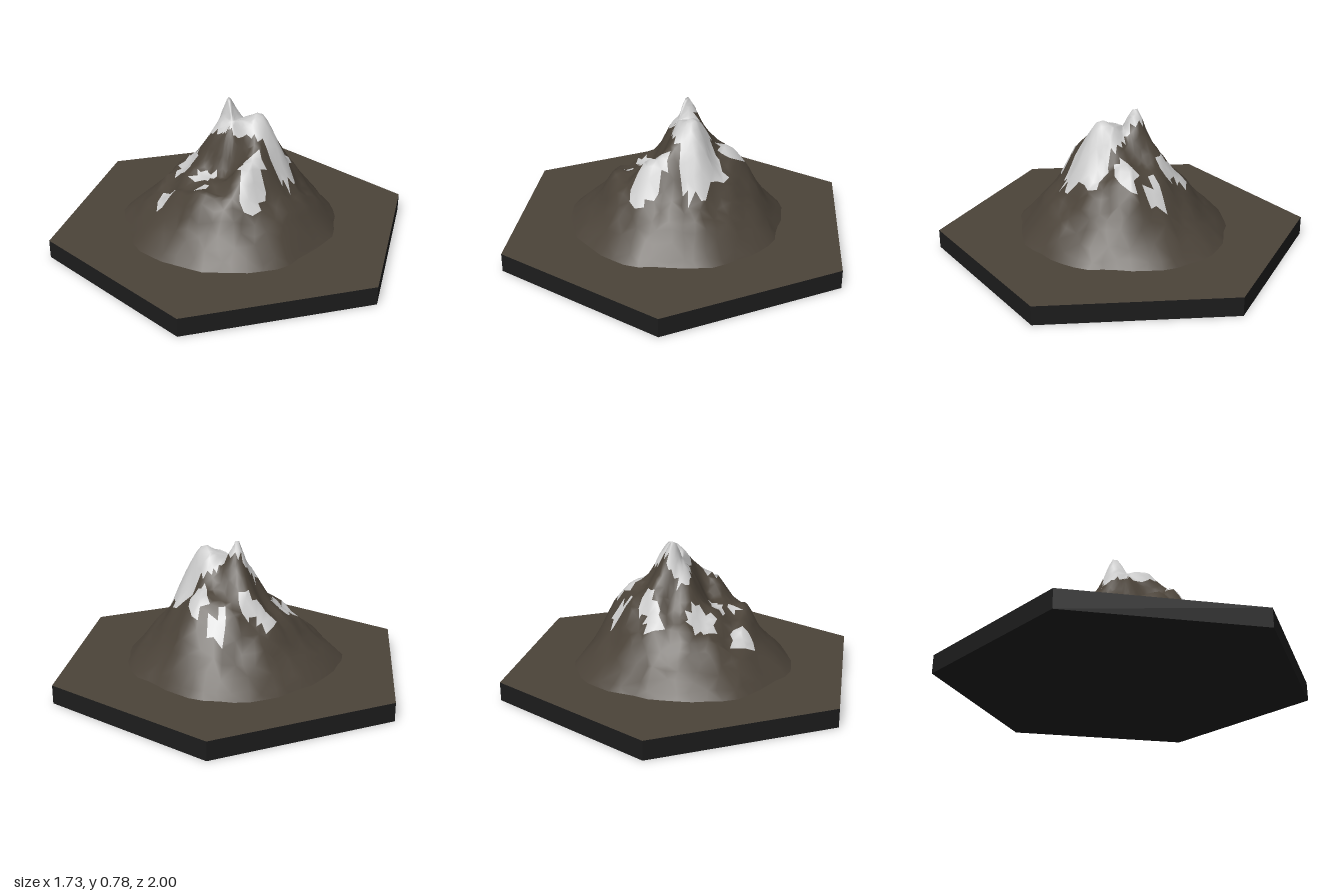
import * as THREE from 'three';

// Height knots for slopes every 30 degrees, starting at +x and turning toward +z.
// Each row: heights at radii RADII, then the radius of the foot.
const RADII = [0, 0.08, 0.16, 0.25, 0.35, 0.45];
const PEAK = 0.67, GROUND = 0.098;
const SLOPES = [
  [0.70, 0.74, 0.55, 0.36, 0.24, 0.57],
  [0.68, 0.65, 0.52, 0.37, 0.24, 0.56],
  [0.58, 0.53, 0.54, 0.38, 0.24, 0.59],
  [0.55, 0.41, 0.41, 0.39, 0.24, 0.58],
  [0.56, 0.42, 0.40, 0.36, 0.23, 0.60],
  [0.58, 0.46, 0.38, 0.30, 0.23, 0.58],
  [0.63, 0.50, 0.41, 0.32, 0.23, 0.60],
  [0.68, 0.53, 0.44, 0.33, 0.22, 0.56],
  [0.79, 0.60, 0.50, 0.36, 0.22, 0.58],
  [0.73, 0.60, 0.50, 0.38, 0.24, 0.60],
  [0.66, 0.58, 0.52, 0.45, 0.26, 0.56],
  [0.69, 0.66, 0.50, 0.37, 0.24, 0.57],
];

// Snow patches: x, z, half width, half depth
const SNOW = [
  [0.15, -0.02, 0.16, 0.11], [0.27, 0.03, 0.07, 0.08], [0.25, -0.1, 0.06, 0.06],
  [-0.04, -0.04, 0.09, 0.07], [0.17, 0.24, 0.06, 0.1], [-0.31, 0.21, 0.06, 0.06],
  [-0.25, 0.02, 0.06, 0.08], [-0.11, 0.16, 0.07, 0.035], [-0.09, 0.26, 0.035, 0.03],
  [-0.2, -0.23, 0.06, 0.045], [-0.1, -0.24, 0.035, 0.04], [0.03, -0.34, 0.05, 0.05],
  [0.15, -0.24, 0.05, 0.08],
];

const RINGS = 18, SIDES = 48;

let seed = 7;
const random = () => (seed = (seed * 16807) % 2147483647) / 2147483647;

// Smooth curve through four neighbouring knots
function cubic(a, b, c, d, t) {
  return b + 0.5 * t * (c - a + t * (2 * a - 5 * b + 4 * c - d + t * (3 * (b - c) + d - a)));
}

function slopeValue(column, turn) {
  const n = SLOPES.length, k = Math.floor(turn), at = i => SLOPES[(k + i + n) % n][column];
  return cubic(at(-1), at(0), at(1), at(2), turn - k);
}

// Point on the mountain: u runs 0..6 from the centre to the foot
function mountainPoint(u, angle) {
  const turn = ((angle / (2 * Math.PI)) * 12 + 12) % 12;
  const foot = slopeValue(5, turn) + 0.008 * Math.sin(angle * 9) + 0.005 * Math.sin(angle * 17);
  const radii = [...RADII, foot];
  const heights = [PEAK, ...[0, 1, 2, 3, 4].map(c => slopeValue(c, turn)), GROUND];
  const k = Math.min(Math.floor(u), 5);
  const along = list => {
    const at = i => list[THREE.MathUtils.clamp(k + i, 0, 6)];
    return cubic(at(-1), at(0), at(1), at(2), u - k);
  };
  const r = along(radii);
  const x = r * Math.cos(angle), z = r * Math.sin(angle);
  // Small gullies fading out at the centre and the foot
  const rough = 0.014 * Math.sin((u / 6) * Math.PI) *
    (Math.sin(x * 31 + z * 13) + Math.sin(z * 37 - x * 17));
  return [x, along(heights) + rough, z];
}

function createMountain(rock, snow) {
  const points = [...mountainPoint(0, 0)];
  for (let i = 1; i <= RINGS; i++) {
    for (let j = 0; j < SIDES; j++) {
      const loose = i < RINGS ? 0.6 : 0;
      const u = ((i + (random() - 0.5) * loose) * 6) / RINGS;
      const angle = ((j + (random() - 0.5) * loose) * 2 * Math.PI) / SIDES;
      points.push(...mountainPoint(u, angle));
    }
  }
  const id = (i, j) => (i === 0 ? 0 : 1 + (i - 1) * SIDES + (j % SIDES));
  const faces = { rock: [], snow: [] };

  const addFace = (...corners) => {
    const mid = axis => corners.reduce((s, c) => s + points[c * 3 + axis], 0) / 3;
    const x = mid(0), z = mid(2);
    const snowy = SNOW.some(([cx, cz, w, d]) => ((x - cx) / w) ** 2 + ((z - cz) / d) ** 2 < 1);
    faces[snowy ? 'snow' : 'rock'].push(...corners);
  };

  for (let i = 0; i < RINGS; i++) {
    for (let j = 0; j < SIDES; j++) {
      const a = id(i, j), b = id(i + 1, j), c = id(i, j + 1), d = id(i + 1, j + 1);
      if (i === 0) addFace(a, d, b);
      else if ((i + j) % 2) { addFace(a, c, b); addFace(c, d, b); }
      else { addFace(a, c, d); addFace(a, d, b); }
    }
  }

  // Shared normals keep the surface smooth across the snow edges
  const surface = new THREE.BufferGeometry();
  surface.setAttribute('position', new THREE.Float32BufferAttribute(points, 3));
  surface.setIndex([...faces.rock, ...faces.snow]);
  surface.computeVertexNormals();

  const mountain = new THREE.Group();
  mountain.name = 'mountain';
  for (const [name, index, material] of [['rockSlopes', faces.rock, rock], ['snowPatches', faces.snow, snow]]) {
    const geometry = surface.clone().setIndex(index);
    const mesh = new THREE.Mesh(geometry, material);
    mesh.name = name;
    mountain.add(mesh);
  }
  return mountain;
}

export function createModel() {
  const rock = new THREE.MeshStandardMaterial({ color: 0x4b4339 });
  const snow = new THREE.MeshStandardMaterial({ color: 0xeeeeee });
  const dark = new THREE.MeshStandardMaterial({ color: 0x1c1c1c, flatShading: true });

  const model = new THREE.Group();
  model.name = 'mountainTile';

  // Hexagonal tile with corners at the front and back
  const tile = new THREE.Mesh(new THREE.CylinderGeometry(1, 1, 0.1, 6), [dark, rock, dark]);
  tile.name = 'hexagonBase';
  tile.position.y = 0.05;
  model.add(tile, createMountain(rock, snow));
  return model;
}
